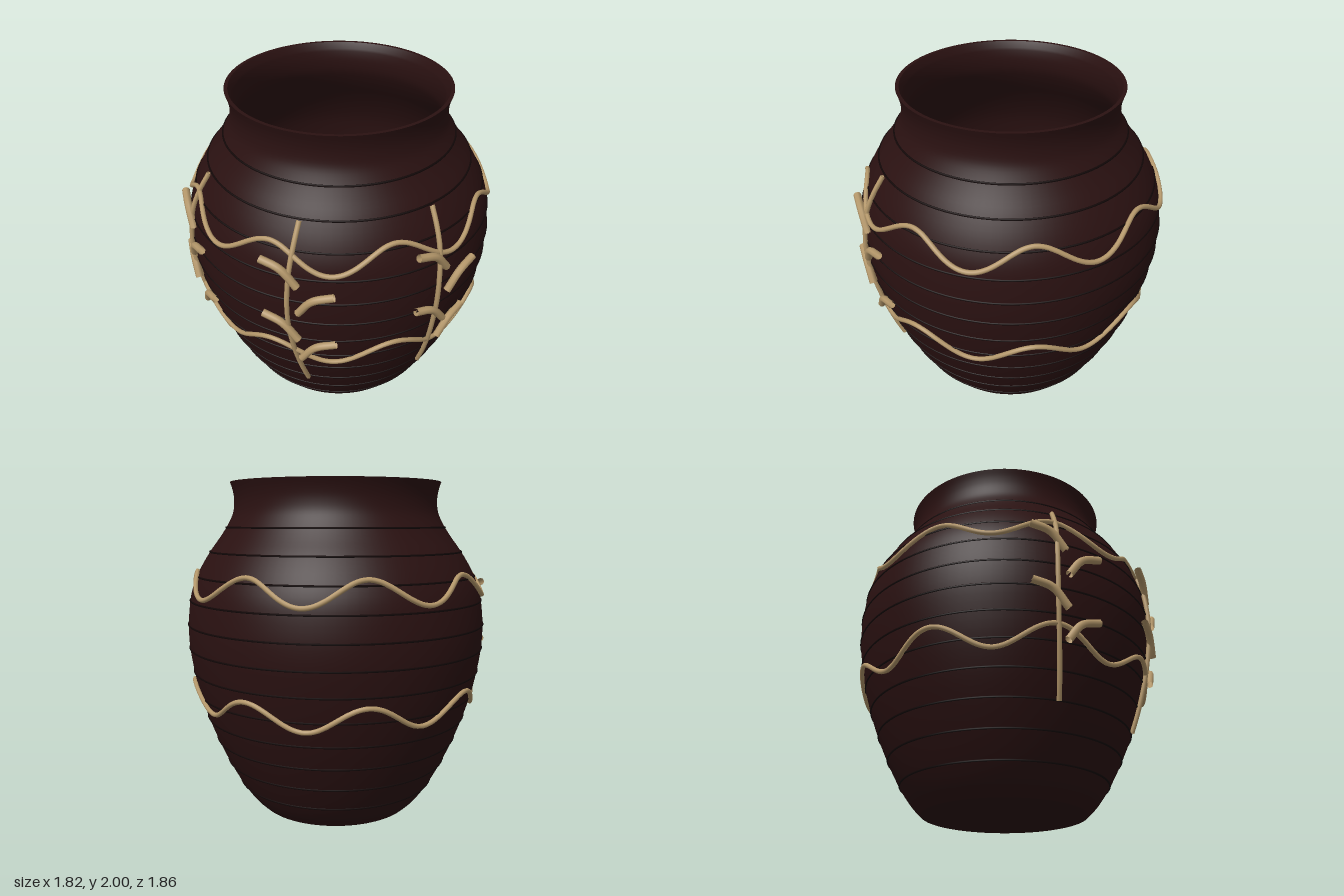
import * as THREE from 'three';
import { toCreasedNormals } from 'three/addons/utils/BufferGeometryUtils.js';

const clay = new THREE.MeshStandardMaterial({ color: 0x2a1111 });
clay.name = 'dark clay';
const groove = new THREE.MeshStandardMaterial({ color: 0x120707 });
groove.name = 'groove black';
const vine = new THREE.MeshStandardMaterial({ color: 0xb4976a, side: THREE.DoubleSide });
vine.name = 'tan vine';

// Outer wall as radius, height
const outer = new THREE.SplineCurve([
  [0.48, 0], [0.54, 0.06], [0.61, 0.16], [0.685, 0.3], [0.752, 0.45], [0.808, 0.6], [0.86, 0.78],
  [0.895, 0.97], [0.905, 1.1], [0.9, 1.22], [0.878, 1.36], [0.83, 1.48], [0.765, 1.59],
  [0.7, 1.68], [0.655, 1.75], [0.622, 1.82], [0.613, 1.89], [0.62, 1.95], [0.635, 2],
].map(([r, y]) => new THREE.Vector2(r, y))).getPoints(72);

// Radius of the outer wall at a height
function radiusAt(y) {
  const i = Math.min(Math.max(outer.findIndex((p) => p.y >= y), 1), outer.length - 1);
  const a = outer[i - 1], b = outer[i];
  return THREE.MathUtils.mapLinear(y, a.y, b.y, a.x, b.x);
}

// Point just off the wall; angle 0 is the front
function onWall(angle, y, lift) {
  const r = radiusAt(y) + lift;
  return new THREE.Vector3(r * Math.sin(angle), y, r * Math.cos(angle));
}

function tube(name, points, radius, segments, closed = false) {
  const curve = new THREE.CatmullRomCurve3(points, closed);
  const mesh = new THREE.Mesh(new THREE.TubeGeometry(curve, segments, radius, 8, closed), vine);
  mesh.name = name;
  return mesh;
}

export function createModel() {
  const model = new THREE.Group();
  model.name = 'vase';
  const body = new THREE.Group();
  body.name = 'vaseBody';
  body.position.z = -0.02;
  model.add(body);

  // Hollow pot: base, outer wall, rim, inner wall, floor
  const inner = outer.filter((p) => p.y > 0.08 && p.y < 1.97).reverse()
    .map((p) => new THREE.Vector2(p.x - 0.03, p.y));
  const profile = [new THREE.Vector2(0, 0), ...outer, new THREE.Vector2(0.615, 2), ...inner,
    new THREE.Vector2(0.455, 0.05), new THREE.Vector2(0, 0.05)];
  const pot = new THREE.Mesh(toCreasedNormals(new THREE.LatheGeometry(profile, 96), 0.6), clay);
  pot.name = 'pot';
  body.add(pot);

  // Thin dark throwing lines around the wall
  for (let k = 0; k < 12; k++) {
    const y = 0.16 + k * 0.1432;
    const ring = new THREE.Mesh(new THREE.TorusGeometry(radiusAt(y), 0.006, 6, 96), groove);
    ring.name = 'throwingLine';
    ring.rotation.x = Math.PI / 2;
    ring.position.y = y;
    body.add(ring);
  }

  // Two wavy vines, eight waves each
  for (const height of [0.75, 1.41]) {
    const points = [];
    for (let i = 0; i < 96; i++) {
      const angle = (i / 96) * Math.PI * 2;
      points.push(onWall(angle, height - 0.07 * Math.sin(8 * angle), 0.01));
    }
    body.add(tube('wavyVine', points, 0.014, 320, true));
  }

  // Three climbing stems with four curled leaves each
  for (const degrees of [-53, 0, 53]) {
    const sprig = new THREE.Group();
    sprig.name = 'sprig';
    sprig.rotation.y = THREE.MathUtils.degToRad(degrees);
    body.add(sprig);

    const stem = [];
    for (let i = 0; i <= 12; i++) {
      const t = i / 12;
      stem.push(onWall(-0.062 * Math.sin(Math.PI * 0.9 * t), 0.44 + 1.15 * t, 0.013));
    }
    sprig.add(tube('stem', stem, 0.014, 48));

    for (const [y, side] of [[0.8, 1], [0.97, -1], [1.17, 1], [1.33, -1]]) {
      const z = radiusAt(y) + 0.02;
      const leaf = side > 0
        ? [[0.005, -0.07, z], [0.085, 0.03, z + 0.005], [0.2, 0.068, z - 0.01]]
        : [[-0.2, 0.07, z - 0.015], [-0.09, 0.035, z], [0, -0.07, z + 0.002]];
      sprig.add(tube('leaf', leaf.map(([px, dy, pz]) => new THREE.Vector3(px, y + dy, pz)), 0.022, 16));
    }
  }
  return model;
}
